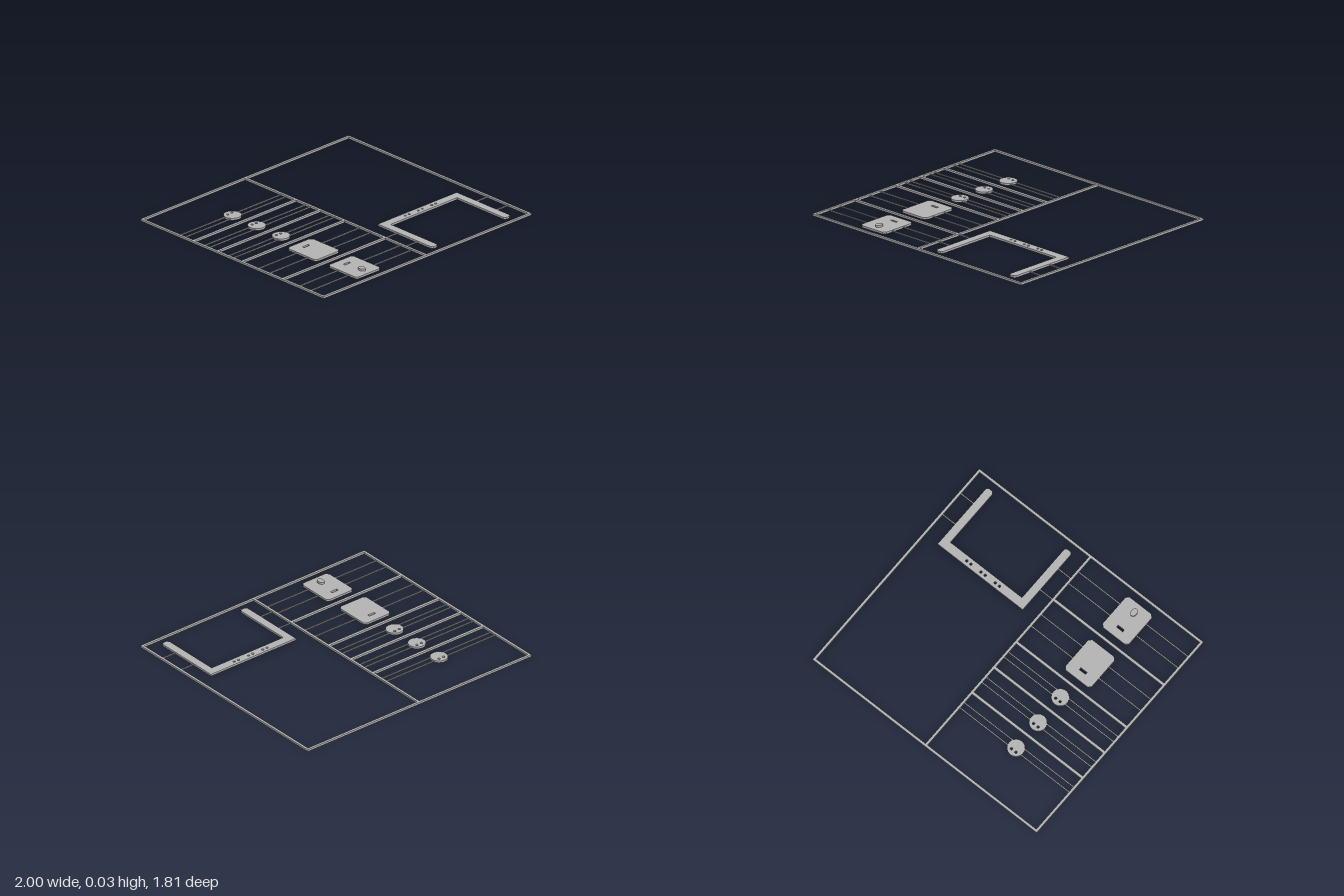
import * as THREE from 'three';

const H = 0.015; // common sheet thickness

export function createModel() {
  const model = new THREE.Group();
  model.name = 'partsSheet';
  const grey = new THREE.MeshStandardMaterial({ color: 0xb4b4b4 });
  grey.name = 'plainGrey';

  const add = (geometry, name) => {
    const mesh = new THREE.Mesh(geometry, grey);
    mesh.name = name;
    model.add(mesh);
    return mesh;
  };
  // Box given by its extents in x and z
  const bar = (name, x0, x1, z0, z1, y0 = 0, y1 = H) =>
    add(new THREE.BoxGeometry(x1 - x0, y1 - y0, z1 - z0), name)
      .position.set((x0 + x1) / 2, (y0 + y1) / 2, (z0 + z1) / 2);
  // Outline in (x, z), extruded upwards; shape y is -z
  const outline = (points) => new THREE.Shape(points.map(([x, z]) => new THREE.Vector2(x, -z)));
  const plate = (name, shape, height = H, y = 0) => {
    const g = new THREE.ExtrudeGeometry(shape, { depth: height, bevelEnabled: false, curveSegments: 16 });
    add(g.rotateX(-Math.PI / 2), name).position.y = y;
  };
  const roundHole = (shape, x, z, r = 0.009) =>
    shape.holes.push(new THREE.Path().absarc(x, -z, r, 0, Math.PI * 2, true));

  // Outer frame and dividers
  const W = 0.018, D = 0.905;
  bar('frameBack', -1, 1, -D, -D + W);
  bar('frameFront', -1, 1, D - W, D);
  bar('frameRight', -1, -1 + W, -D + W, D - W);
  bar('frameLeft', 1 - W, 1, -D + W, D - W);
  bar('centreDivider', -0.011, 0.007, -D + W, D - W);
  for (const z of [-0.393, -0.154, 0.086, 0.49])
    bar('crossBar', -1 + W, -0.011, z - 0.01, z + 0.01);

  // Thin runners that hold the small parts
  const runner = (x0, x1, z) => bar('runner', x0, x1, z - 0.004, z + 0.004, 0.003, 0.011);
  const cx = -0.495;

  // Round buttons with two holes
  for (const z of [-0.515, -0.275, -0.035]) {
    const disc = new THREE.Shape().absarc(cx, -z, 0.063, 0, Math.PI * 2, false);
    for (const s of [-1, 1]) roundHole(disc, cx + s * 0.02, z - 0.025);
    plate('button', disc);
    for (const [dz, half] of [[-0.017, 0.058], [0.031, 0.052]]) {
      runner(-1 + W, cx - half, z + dz);
      runner(cx + half, -0.011, z + dz);
    }
  }

  // Slotted tags with cut corners
  const x0 = -0.613, x1 = -0.377, c = 0.02;
  for (const [z0, slotZ] of [[0.143, 0.214], [0.548, 0.618]]) {
    const z1 = z0 + 0.288;
    const tag = outline([
      [x0, z1 - c], [x0 + c, z1], [x1 - c, z1], [x1, z1 - c],
      [x1, z0 + c], [x1 - c, z0], [x0 + c, z0], [x0, z0 + c],
    ]);
    tag.holes.push(outline([
      [cx - 0.028, slotZ - 0.009], [cx + 0.028, slotZ - 0.009],
      [cx + 0.028, slotZ + 0.009], [cx - 0.028, slotZ + 0.009],
    ]));
    plate('tag', tag);
    for (const dz of [0.1, 0.208]) {
      runner(-1 + W, x0, z0 + dz);
      runner(x1, -0.011, z0 + dz);
    }
  }

  // Raised oval stud on the front tag
  plate('ovalStud', new THREE.Shape().absellipse(cx, -0.765, 0.022, 0.03, 0, Math.PI * 2, false, 0), 0.015, H);

  // U-shaped bracket with three pairs of holes
  const a = 0.113, b = 0.872, w = 0.06, zb = 0.297, zi = 0.362, zf = 0.835, k = 0.014;
  const bracket = outline([
    [a, zb], [a, zf - k], [a + k, zf], [a + w - k, zf], [a + w, zf - k], [a + w, zi],
    [b - w, zi], [b - w, zf - k], [b - w + k, zf], [b - k, zf], [b, zf - k], [b, zb],
  ]);
  for (const x of [0.365, 0.492, 0.62])
    for (const s of [-1, 1]) roundHole(bracket, x + s * 0.019, 0.328);
  plate('bracket', bracket);
  for (const z of [0.487, 0.685]) {
    runner(0.007, a, z);
    runner(b, 1 - W, z);
  }

  return model;
}
